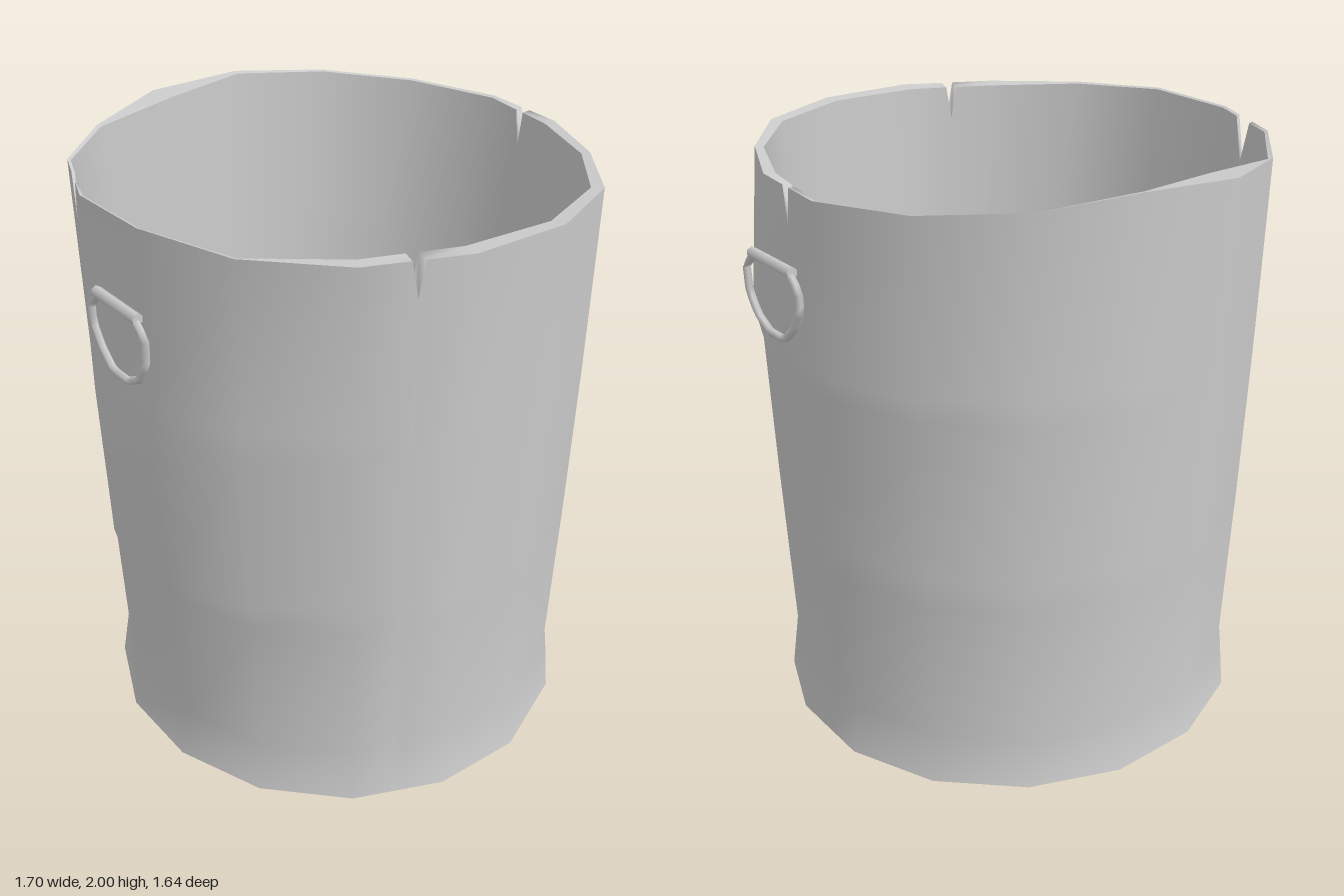
import * as THREE from 'three';

const SIDES = 16;
// Per-corner values, counted from +x towards +z
const RIM_Y = [1.945, 1.945, 1.95, 1.955, 1.955, 1.95, 1.955, 1.97, 1.965, 1.96, 1.96, 1.985, 2, 1.975, 1.955, 1.945];
const RIM_R = [0.8, 0.79, 0.825, 0.835, 0.835, 0.83, 0.83, 0.82, 0.82, 0.825, 0.825, 0.84, 0.815, 0.835, 0.835, 0.83];
const LIP_R = [0.763, 0.763, 0.785, 0.786, 0.77, 0.77, 0.815, 0.81, 0.81, 0.815, 0.81, 0.745, 0.795, 0.825, 0.825, 0.815];
const FOOT_Y = [0.03, 0, 0.045, 0.015, 0.02, 0.025, 0.03, 0.04, 0.04, 0.04, 0.04, 0.04, 0.04, 0.04, 0.035, 0.03];

// Torn notches in the rim: position in corners, half width, depth
const NOTCHES = [
  { u: 4.49, w: 0.06, depth: 0.11 },
  { u: 8.5, w: 0.15, depth: 0.14 },
  { u: 15.53, w: 0.06, depth: 0.12 },
];
const COLUMNS = [...Array(SIDES).keys()];
for (const n of NOTCHES) COLUMNS.push(n.u - n.w, n.u, n.u + n.w);
COLUMNS.sort((a, b) => a - b);

// Ring of points; radius and height are functions of the corner number
function ring(radius, height, notched = false) {
  const corner = (k) => {
    const i = k % SIDES;
    const t = ((i + 0.5) / SIDES) * Math.PI * 2;
    return new THREE.Vector3(Math.cos(t) * radius(i), height(i), Math.sin(t) * radius(i));
  };
  return COLUMNS.map((u) => {
    const k = Math.floor(u);
    const p = corner(k).lerp(corner(k + 1), u - k);
    const notch = notched && NOTCHES.find((n) => n.u === u);
    if (notch) p.y -= notch.depth;
    return p;
  });
}

// Skin between rings; faces outwards when the rings go upwards
function loft(name, rings, material) {
  const n = COLUMNS.length;
  const index = [];
  for (let i = 0; i < rings.length - 1; i++) {
    for (let j = 0; j < n; j++) {
      const a = i * n + j, b = i * n + ((j + 1) % n);
      index.push(a, a + n, b, b, a + n, b + n);
    }
  }
  const geometry = new THREE.BufferGeometry().setFromPoints(rings.flat());
  geometry.setIndex(index);
  geometry.computeVertexNormals();
  const mesh = new THREE.Mesh(geometry, material);
  mesh.name = name;
  return mesh;
}

export function createModel() {
  const model = new THREE.Group();
  model.name = 'bucket';
  const material = new THREE.MeshStandardMaterial({ color: 0xcccccc, side: THREE.DoubleSide });

  // Outer wall with a flared foot, a bulge at -x and a swelling near +x
  const bulge = (i) => (i >= 6 && i <= 8 ? 0.02 : 0);
  const swell = (i) => (i >= 14 || i <= 1 ? 0.022 : 0);
  const flat = (y) => () => y;
  const foot = ring(flat(0.8), (i) => FOOT_Y[i]);
  const rim = ring((i) => RIM_R[i], (i) => RIM_Y[i], true);
  const lip = ring((i) => LIP_R[i], (i) => RIM_Y[i] - 0.004, true);
  const floor = ring(flat(0.735), flat(0.1));

  model.add(loft('outerWall', [
    foot,
    ring(flat(0.773), flat(0.2)),
    ring(flat(0.792), flat(0.7)),
    ring((i) => 0.796 + bulge(i), flat(0.8)),
    ring((i) => 0.812 + bulge(i), flat(0.33 + 1)),
    ring((i) => 0.814 + swell(i), flat(1.42)),
    rim,
  ], material));

  // Uneven rim, inner wall, floor and underside
  model.add(loft('rim', [rim, lip], material));
  model.add(loft('innerWall', [lip, floor], material));
  model.add(loft('floor', [floor, ring(flat(0), flat(0.1))], material));
  model.add(loft('underside', [ring(flat(0), flat(0.03)), foot], material));

  // D-shaped ring hanging from a short bar on each side
  const path = [[0.17, 1.7], [0.215, 1.66], [0.21, 1.58], [0.165, 1.515], [0.1, 1.482], [0.01, 1.482],
    [-0.05, 1.535], [-0.09, 1.6], [-0.09, 1.66], [-0.05, 1.7]];
  for (const side of [1, -1]) {
    const handle = new THREE.Group();
    handle.name = side > 0 ? 'leftHandle' : 'rightHandle';

    const bar = new THREE.Mesh(new THREE.CylinderGeometry(0.018, 0.018, 0.235, 6), material);
    bar.name = 'handleBar';
    bar.rotation.x = Math.PI / 2;
    bar.position.set(side * 0.832, 1.71, 0.06);

    const curve = new THREE.CurvePath();
    const points = path.map(([z, y]) => new THREE.Vector3(side * 0.834, y, z));
    for (let i = 1; i < points.length; i++) curve.add(new THREE.LineCurve3(points[i - 1], points[i]));
    const loop = new THREE.Mesh(new THREE.TubeGeometry(curve, 20, 0.013, 5, false), material);
    loop.name = 'handleRing';

    handle.add(bar, loop);
    model.add(handle);
  }
  return model;
}
